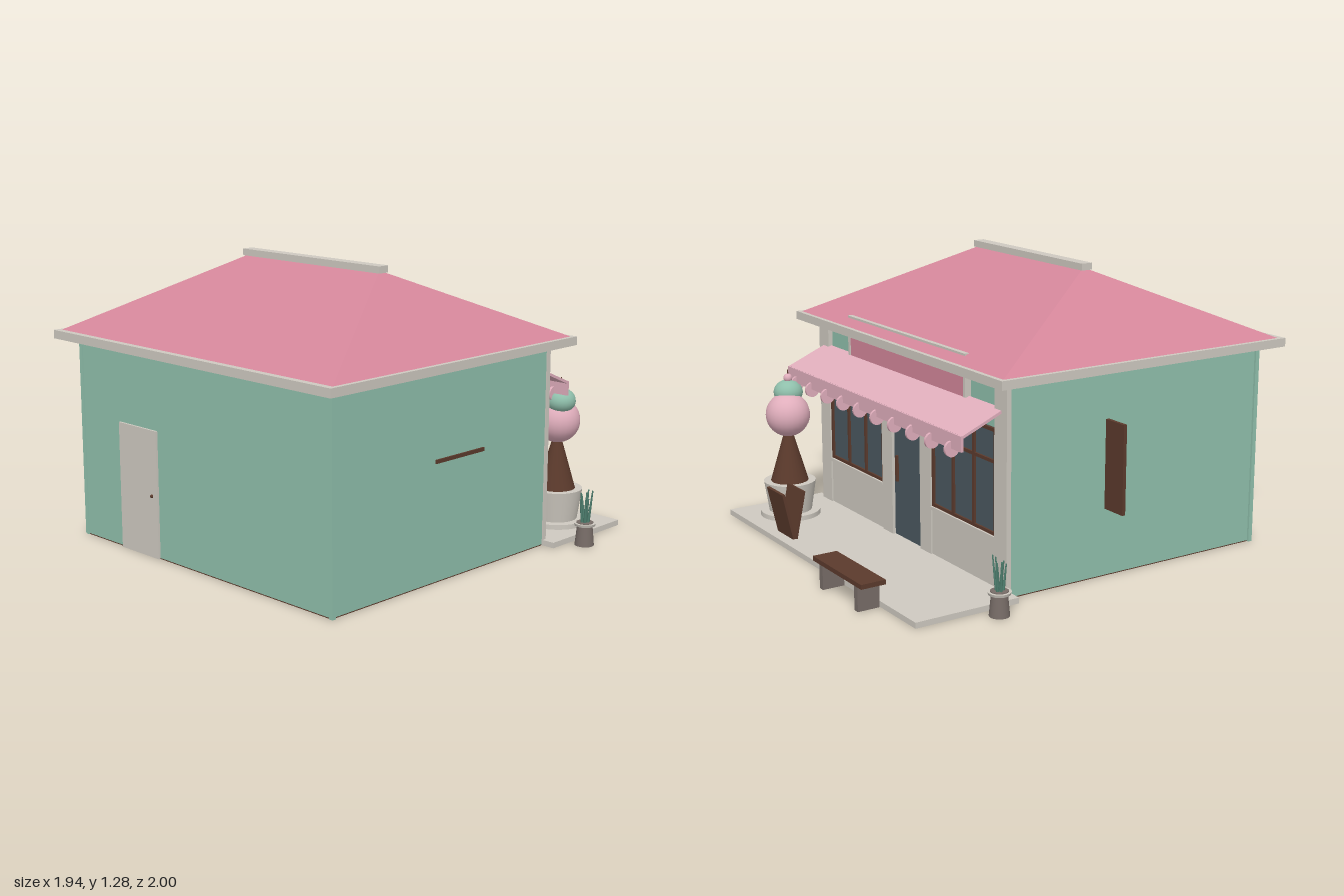
import * as THREE from 'three';

const mat = (name, color) => {
  const m = new THREE.MeshStandardMaterial({ color });
  m.name = name;
  return m;
};

export function createModel() {
  const green = mat('mint wall', 0x8fbfab);
  const rose = mat('rose roof', 0xd4869a);
  const pink = mat('light pink', 0xe0aebc);
  const cream = mat('cream trim', 0xcec9c0);
  const brown = mat('brown wood', 0x5b3a2c);
  const glass = mat('dark glass', 0x4a5860);
  const grey = mat('warm grey', 0x776c67);
  const leaf = mat('plant green', 0x4f8070);

  const model = new THREE.Group();
  const add = (name, geo, material, x = 0, y = 0, z = 0, parent = model) => {
    const mesh = new THREE.Mesh(geo, material);
    mesh.name = name;
    mesh.position.set(x, y, z);
    parent.add(mesh);
    return mesh;
  };
  // box given by its two opposite corners
  const box = (name, material, x0, x1, y0, y1, z0, z1, parent = model) =>
    add(name, new THREE.BoxGeometry(x1 - x0, y1 - y0, z1 - z0), material,
      (x0 + x1) / 2, (y0 + y1) / 2, (z0 + z1) / 2, parent);
  // thin board spanning two points in the z-y plane
  const board = (name, material, x0, x1, [z0, y0], [z1, y1], t) => {
    const m = add(name, new THREE.BoxGeometry(x1 - x0, t, Math.hypot(z1 - z0, y1 - y0)), material,
      (x0 + x1) / 2, (y0 + y1) / 2, (z0 + z1) / 2);
    m.rotation.x = -Math.atan2(y1 - y0, z1 - z0);
    return m;
  };

  // Building shell
  box('walls', green, -0.79, 0.79, 0.004, 0.91, -0.4, 0.915);
  box('floor', brown, -0.79, 0.79, 0, 0.004, -0.4, 0.915);
  for (const s of [-1, 1]) {
    const c = s * 0.79;
    box('cornerPost', green, c - 0.01, c + 0.01, 0, 0.905, 0.9, 0.92);
  }
  box('eaves', cream, -0.875, 0.875, 0.905, 0.943, -0.5, 1.0);

  // Hipped roof
  const A = [-0.855, 0.943, -0.48], B = [0.855, 0.943, -0.48];
  const C = [0.855, 0.943, 0.97], D = [-0.855, 0.943, 0.97];
  const E = [-0.4, 1.258, 0.245], F = [0.4, 1.258, 0.245];
  const roof = new THREE.BufferGeometry();
  roof.setAttribute('position', new THREE.Float32BufferAttribute(
    [D, C, F, D, F, E, B, A, E, B, E, F, C, B, F, A, D, E].flat(), 3));
  roof.computeVertexNormals();
  add('roof', roof, rose);
  box('ridgeCap', cream, -0.425, 0.425, 1.25, 1.28, 0.218, 0.272);

  // Rear service door, wall shelf and hanging blade panel
  box('serviceDoor', cream, -0.52, -0.265, 0, 0.57, 0.915, 0.925);
  add('doorKnob', new THREE.SphereGeometry(0.008, 10, 8), brown, -0.3, 0.277, 0.926);
  box('wallStrip', brown, 0.79, 0.798, 0.512, 0.528, 0.02, 0.32);
  box('bladePanel', brown, -0.91, -0.79, 0.3, 0.69, 0.08, 0.096);

  // Shopfront
  box('porch', cream, -0.855, 0.855, 0, 0.025, -0.89, -0.4);
  for (const x of [-0.75, -0.165, 0.165, 0.75])
    box('pilaster', cream, x - 0.045, x + 0.045, 0.025, 0.905, -0.422, -0.4);
  for (const s of [-1, 1]) {
    const win = new THREE.Group();
    win.name = 'shopWindow';
    win.position.x = s * 0.4575;
    model.add(win);
    box('bulkhead', cream, -0.248, 0.248, 0.025, 0.23, -0.414, -0.4, win);
    box('windowSill', cream, -0.248, 0.248, 0.23, 0.245, -0.424, -0.4, win);
    box('pane', glass, -0.248, 0.248, 0.245, 0.7, -0.406, -0.4, win);
    for (const x of [-0.24, -0.08, 0.08, 0.24])
      box('mullion', brown, x - 0.007, x + 0.007, 0.245, 0.7, -0.416, -0.4, win);
    for (const y of [0.252, 0.56, 0.693])
      box('glazingBar', brown, -0.248, 0.248, y - 0.007, y + 0.007, -0.415, -0.4, win);
    // Wall lamps beside the entrance
    box('lampBracket', brown, s * 0.165 - 0.008, s * 0.165 + 0.008, 0.58, 0.66, -0.428, -0.42);
    add('lamp', new THREE.CylinderGeometry(0.012, 0.018, 0.035, 12), brown, s * 0.165, 0.6, -0.432);
  }
  box('entranceDoor', glass, -0.12, 0.12, 0.025, 0.7, -0.408, -0.4);
  box('doorHandle', brown, 0.085, 0.097, 0.28, 0.4, -0.42, -0.408);

  // Fascia board with cream frame
  box('fasciaPanel', rose, -0.49, 0.49, 0.79, 0.965, -0.424, -0.4);
  box('fasciaTop', cream, -0.497, 0.497, 0.96, 0.975, -0.428, -0.405);
  for (const x of [-0.49, 0.49])
    box('fasciaSide', cream, x - 0.008, x + 0.008, 0.79, 0.965, -0.428, -0.4);

  // Awning with hanging scallops
  board('awning', pink, -0.755, 0.755, [-0.605, 0.705], [-0.405, 0.79], 0.012);
  box('valance', pink, -0.755, 0.755, 0.645, 0.71, -0.613, -0.601);
  const disc = new THREE.CylinderGeometry(0.034, 0.034, 0.013, 20).rotateZ(Math.PI / 2);
  for (let i = 0; i < 10; i++)
    add('scallop', disc, pink, -0.675 + i * 0.15, 0.642, -0.607);

  // Giant cone display
  const cone = new THREE.Group();
  cone.name = 'coneDisplay';
  cone.position.set(0.655, 0, -0.67);
  model.add(cone);
  add('plinth', new THREE.CylinderGeometry(0.14, 0.14, 0.022, 32), cream, 0, 0.036, 0, cone);
  add('tub', new THREE.CylinderGeometry(0.122, 0.1, 0.142, 24), cream, 0, 0.118, 0, cone);
  add('waferCone', new THREE.CylinderGeometry(0.012, 0.088, 0.26, 24), brown, 0, 0.319, 0, cone);
  add('lowerScoop', new THREE.SphereGeometry(0.103, 24, 16), pink, 0, 0.506, 0, cone);
  add('upperScoop', new THREE.SphereGeometry(0.068, 24, 16), green, 0.03, 0.605, 0.02, cone)
    .scale.y = 0.85;
  add('cherry', new THREE.SphereGeometry(0.021, 14, 10), pink, 0.03, 0.672, 0.02, cone);
  add('cherryStem', new THREE.CylinderGeometry(0.003, 0.003, 0.03, 6), brown, 0.03, 0.697, 0.02, cone);

  // Potted plants
  for (const s of [-1, 1]) {
    const pot = new THREE.Group();
    pot.name = 'planter';
    pot.position.set(s * 0.92, 0, -0.54);
    model.add(pot);
    add('pot', new THREE.CylinderGeometry(0.034, 0.043, 0.092, 20), grey, 0, 0.046, 0, pot);
    add('potRim', new THREE.CylinderGeometry(0.05, 0.046, 0.012, 20), cream, 0, 0.097, 0, pot);
    add('soil', new THREE.CylinderGeometry(0.038, 0.038, 0.004, 20), grey, 0, 0.104, 0, pot);
    for (let i = 0; i < 8; i++) {
      const a = i * 2.4, r = i < 3 ? 0.01 : 0.022;
      const h = 0.115 + 0.018 * (i % 3);
      const stem = add('leafBlade', new THREE.CylinderGeometry(0.003, 0.007, h, 6), leaf,
        Math.cos(a) * r, 0.1 + h / 2, Math.sin(a) * r, pot);
      stem.rotation.set(Math.sin(a) * 0.11, 0, -Math.cos(a) * 0.11);
    }
  }

  // Menu board: two leaves joined at the foot
  board('menuLeaf', brown, 0.27, 0.425, [-0.835, 0.035], [-0.79, 0.25], 0.012);
  board('menuLeaf', brown, 0.27, 0.425, [-0.845, 0.035], [-0.893, 0.25], 0.012);

  // Bench
  box('benchSeat', brown, -0.622, -0.21, 0.11, 0.13, -1.0, -0.887);
  for (const x of [-0.565, -0.268])
    box('benchLeg', grey, x - 0.014, x + 0.014, 0, 0.11, -0.993, -0.893);

  return model;
}
